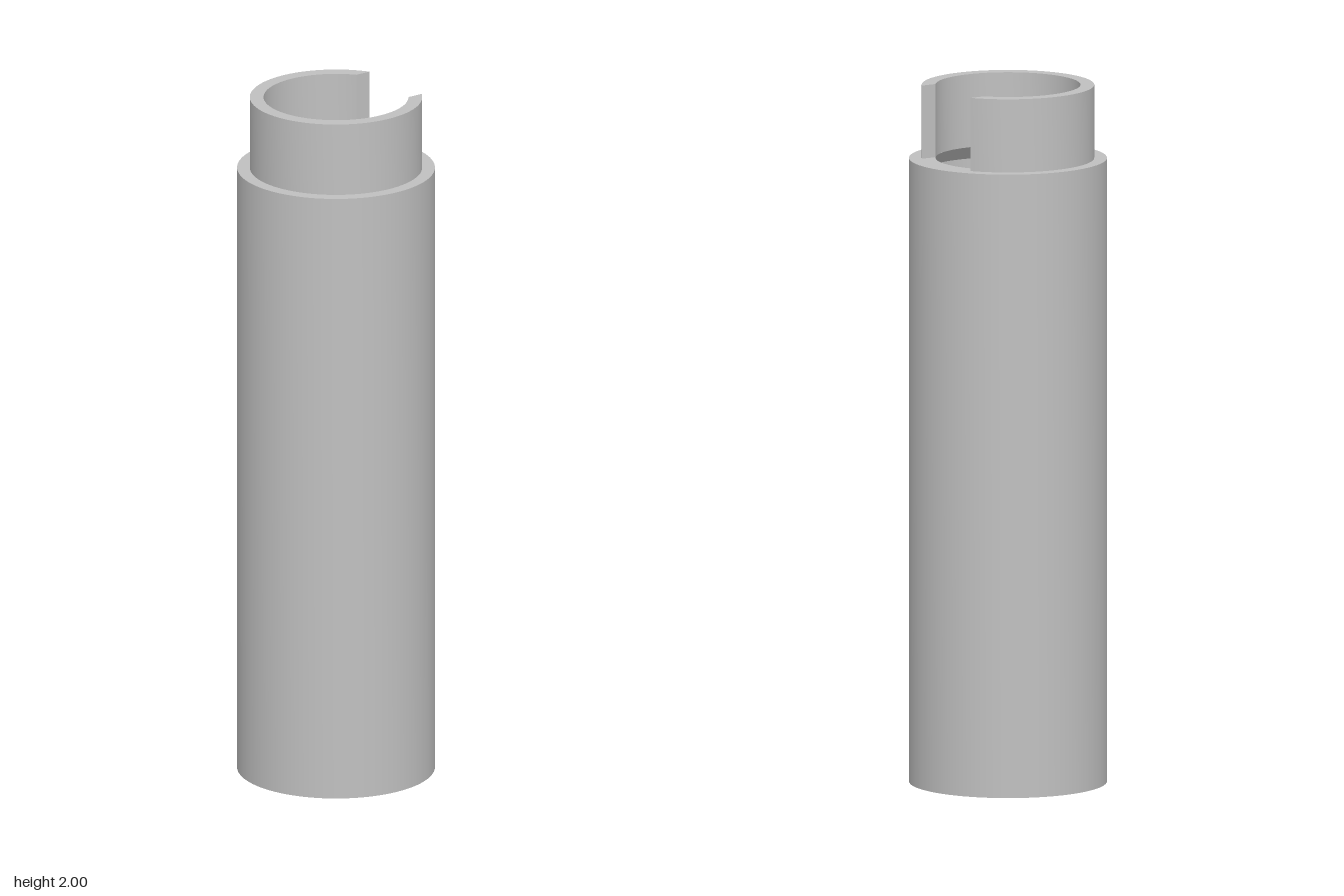
import * as THREE from 'three';
import { toCreasedNormals } from 'three/addons/utils/BufferGeometryUtils.js';

const OUTER = 0.28;      // sleeve outside
const SOCKET = 0.244;    // sleeve bore, also the collar outside
const BORE = 0.205;      // collar bore
const SHOULDER = 1.79;   // height where the collar starts
const NOTCH = 0.123;     // half width of the collar notch

export function createModel() {
  const group = new THREE.Group();
  const grey = new THREE.MeshStandardMaterial({ color: 0xc0c0c0 });
  grey.name = 'light grey';

  const add = (name, geometry) => {
    const mesh = new THREE.Mesh(toCreasedNormals(geometry, 0.5), grey);
    mesh.name = name;
    group.add(mesh);
    return mesh;
  };

  // Hollow sleeve: wide bore with a chamfer narrowing to the collar bore
  const profile = [
    [SOCKET, 0], [OUTER, 0], [OUTER, SHOULDER], [BORE, SHOULDER],
    [SOCKET, SHOULDER - 0.04], [SOCKET, 0],
  ].map(([r, y]) => new THREE.Vector2(r, y));
  add('sleeve', new THREE.LatheGeometry(profile, 96));

  // Open collar: a ring with a parallel-sided notch on the +x side
  const a = Math.asin(NOTCH / SOCKET);
  const b = Math.asin(NOTCH / BORE);
  const ring = new THREE.Shape();
  ring.absarc(0, 0, SOCKET, a, Math.PI * 2 - a, false);
  ring.absarc(0, 0, BORE, Math.PI * 2 - b, b, true);
  ring.closePath();
  const collar = new THREE.ExtrudeGeometry(ring, {
    depth: 2 - SHOULDER, bevelEnabled: false, curveSegments: 40,
  });
  collar.rotateX(-Math.PI / 2);
  add('collar', collar).position.y = SHOULDER;

  return group;
}
